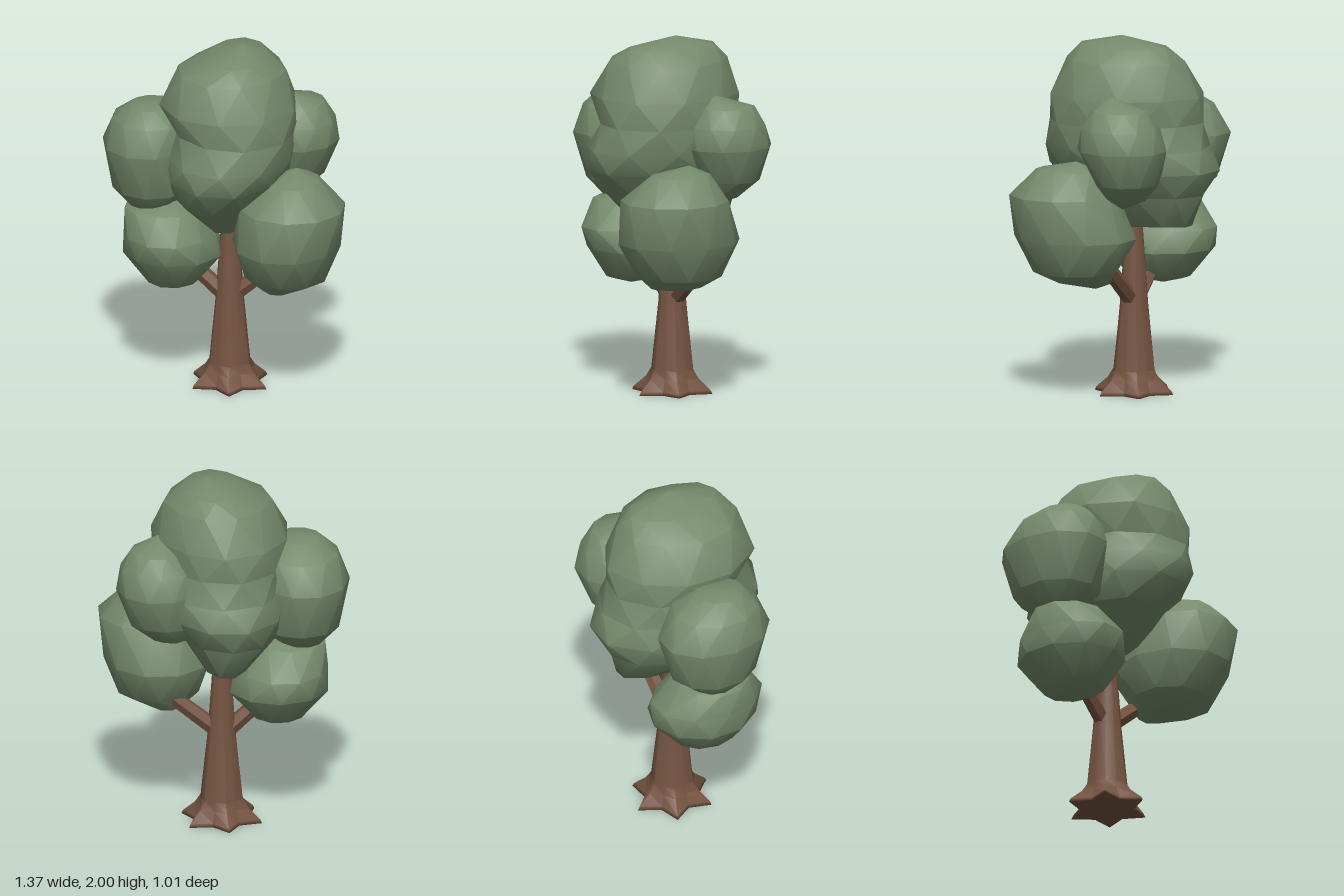
import * as THREE from 'three';

const foliage = new THREE.MeshStandardMaterial({ color: 0x758a6b });
foliage.name = 'leafGreen';
const bark = new THREE.MeshStandardMaterial({ color: 0x755441 });
bark.name = 'barkBrown';

// Joins rings of equal size (bottom to top) into a closed shape with two end points.
// Odd rings of a twisted shape sit half a step further round.
function loft(rings, bottom, top, twisted) {
  const sides = rings[0].length;
  const index = [];
  for (let j = 1; j < rings.length; j++) {
    const lo = (j - 1) * sides;
    const hi = j * sides;
    for (let i = 0; i < sides; i++) {
      const k = (i + 1) % sides;
      if (twisted && j % 2 === 0) index.push(lo + i, hi + k, hi + i, lo + i, lo + k, hi + k);
      else index.push(lo + i, lo + k, hi + i, lo + k, hi + k, hi + i);
    }
  }
  const end = rings.length * sides;
  for (let i = 0; i < sides; i++) {
    const k = (i + 1) % sides;
    index.push(end, k, i, end + 1, end - sides + i, end - sides + k);
  }
  const geo = new THREE.BufferGeometry();
  geo.setAttribute('position', new THREE.Float32BufferAttribute([...rings, [bottom, top]].flat(2), 3));
  geo.setIndex(index);
  return geo;
}

// Blends flat and smooth normals for soft facets
function softFacets(geo) {
  geo.computeVertexNormals();
  const out = geo.toNonIndexed();
  const smooth = out.attributes.normal.clone();
  out.computeVertexNormals();
  const normal = out.attributes.normal;
  const n = new THREE.Vector3();
  const s = new THREE.Vector3();
  for (let i = 0; i < normal.count; i++) {
    s.fromBufferAttribute(smooth, i);
    n.fromBufferAttribute(normal, i).add(s).normalize();
    normal.setXYZ(i, n.x, n.y, n.z);
  }
  return out;
}

// Leaf clump from slices [y, minX, maxX, minZ, maxZ, corners], listed bottom to top.
// Corners swell or pinch the diagonals: front left, front right, back right, back left.
function leafClump(name, bottom, top, slices) {
  const sides = 10;
  const widest = Math.cos(Math.PI / sides);
  const rings = slices.map(([y, x0, x1, z0, z1, corners = [0, 0, 0, 0]], j) => {
    const half = j % 2;
    return Array.from({ length: sides }, (_, i) => {
      const a = ((i + half / 2) / sides) * Math.PI * 2;
      const sx = Math.cos(a) / (half ? widest : 1);
      const sz = -Math.sin(a) / (half ? 1 : widest);
      const corner = corners[sz > 0 ? (sx > 0 ? 0 : 1) : (sx > 0 ? 3 : 2)];
      const r = 1 + 2 * Math.abs(sx * sz) * corner;
      return [(x0 + x1) / 2 + r * sx * (x1 - x0) / 2, y, (z0 + z1) / 2 + r * sz * (z1 - z0) / 2];
    });
  });
  const mesh = new THREE.Mesh(softFacets(loft(rings, bottom, top, true)), foliage);
  mesh.name = name;
  return mesh;
}

// Tapering trunk whose lowest rings flare into a star of roots
function trunkMesh() {
  const sides = 12;
  // height, radius in the valleys, radius on the root ridges
  const profile = [[0, 0.15, 0.235], [0.02, 0.145, 0.225], [0.08, 0.122, 0.155],
    [0.13, 0.113, 0.123], [0.5, 0.078, 0.082], [0.95, 0.047, 0.049], [1.1, 0.04, 0.042]];
  const rings = profile.map(([y, valley, ridge]) => Array.from({ length: sides }, (_, i) => {
    const a = (i / sides) * Math.PI * 2 + 0.12;
    const r = i % 2 ? valley : ridge;
    return [0.02 + Math.sin(a) * r, y, -0.03 + Math.cos(a) * r];
  }));
  const mesh = new THREE.Mesh(softFacets(loft(rings, [0.02, 0, -0.03], [0.02, 1.1, -0.03], false)), bark);
  mesh.name = 'trunkWithRoots';
  return mesh;
}

// Six-sided branch between two points
function branch(name, from, to) {
  const a = new THREE.Vector3(...from);
  const b = new THREE.Vector3(...to);
  const dir = b.clone().sub(a);
  const geo = new THREE.CylinderGeometry(0.042, 0.048, dir.length(), 6).toNonIndexed();
  geo.computeVertexNormals();
  const mesh = new THREE.Mesh(geo, bark);
  mesh.position.copy(a).add(b).multiplyScalar(0.5);
  mesh.quaternion.setFromUnitVectors(new THREE.Vector3(0, 1, 0), dir.normalize());
  mesh.name = name;
  return mesh;
}

export function createModel() {
  const tree = new THREE.Group();
  tree.name = 'tree';

  tree.add(
    trunkMesh(),
    branch('rightBranch', [0.01, 0.5, -0.03], [-0.25, 0.74, -0.03]),
    branch('leftBranch', [0.03, 0.51, -0.03], [0.34, 0.76, -0.03])
  );

  // Tall crown, waisted on two diagonals, ringed by four smaller clumps
  tree.add(
    leafClump('crown', [0.04, 0.92, 0.05], [0.1, 2, 0], [
      [0.95, -0.12, 0.14, -0.37, 0.18],
      [1.12, -0.28, 0.24, -0.44, 0.36],
      [1.26, -0.33, 0.35, -0.5, 0.45, [0, 0, 0.03, 0]],
      [1.38, -0.31, 0.38, -0.465, 0.49, [0, 0, 0.05, -0.03]],
      [1.52, -0.3, 0.4, -0.405, 0.4, [0.08, -0.04, 0.07, -0.12]],
      [1.67, -0.34, 0.39, -0.44, 0.43, [0.04, 0.04, -0.03, -0.08]],
      [1.86, -0.26, 0.34, -0.33, 0.33, [0, 0.04, -0.08, -0.06]],
      [1.94, -0.08, 0.22, -0.26, 0.27]
    ]),
    leafClump('upperRightClump', [-0.42, 1.01, -0.03], [-0.43, 1.645, 0.03], [
      [1.03, -0.53, -0.3, -0.14, 0.1],
      [1.14, -0.62, -0.2, -0.28, 0.22],
      [1.4, -0.685, -0.17, -0.34, 0.28],
      [1.55, -0.62, -0.2, -0.26, 0.24],
      [1.63, -0.53, -0.28, -0.11, 0.15]
    ]),
    leafClump('upperLeftClump', [0.27, 1.06, -0.1], [0.36, 1.7, -0.08], [
      [1.12, 0.2, 0.42, -0.25, -0.04],
      [1.22, 0.16, 0.53, -0.35, -0.01],
      [1.41, 0.14, 0.61, -0.4, 0.08],
      [1.53, 0.17, 0.58, -0.37, 0.07],
      [1.63, 0.25, 0.53, -0.3, 0.0]
    ]),
    leafClump('lowerLeftClump', [0.3, 0.61, 0.05], [0.41, 1.33, 0.11], [
      [0.64, 0.22, 0.42, -0.03, 0.28],
      [0.71, 0.14, 0.58, -0.09, 0.38],
      [0.9, 0.06, 0.66, -0.19, 0.48],
      [1.14, 0.12, 0.68, -0.1, 0.5],
      [1.28, 0.27, 0.55, 0.0, 0.34]
    ]),
    leafClump('lowerRightClump', [-0.35, 0.56, 0.0], [-0.31, 1.11, 0.0], [
      [0.61, -0.44, -0.14, -0.18, 0.17],
      [0.77, -0.56, -0.02, -0.33, 0.28],
      [0.89, -0.565, -0.06, -0.32, 0.3],
      [1.03, -0.55, -0.15, -0.2, 0.21]
    ])
  );
  return tree;
}
